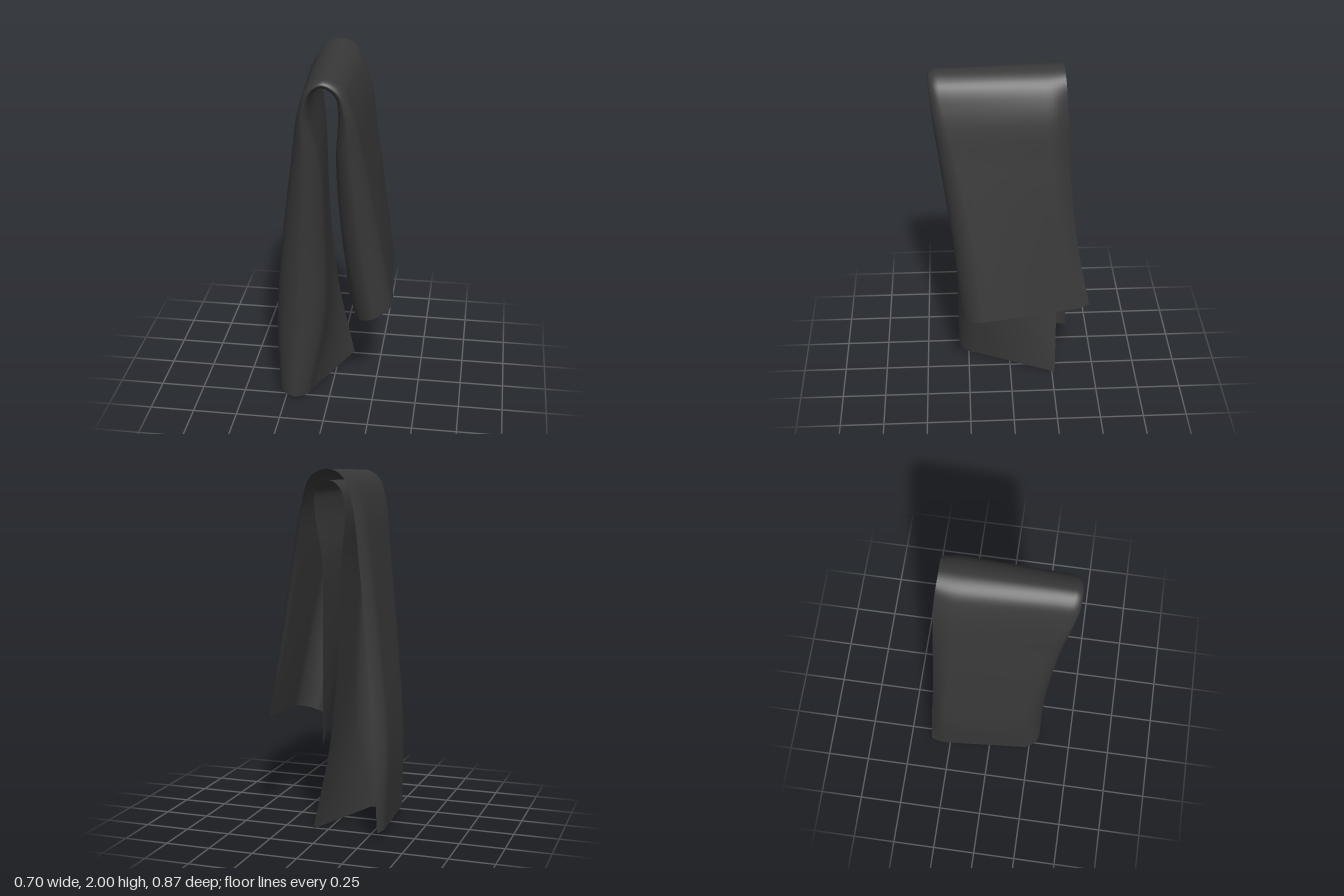
import * as THREE from 'three';

// Stations run from the long hanging end, over the top, to the short hanging end.
// Each row: xFront, yFront, xBack, yBack, zBack
const OUTER = [
  [-0.295, 0.03, -0.345, 0.05, -0.365],
  [-0.31, 0.5, -0.355, 0.5, -0.345],
  [-0.265, 1.0, -0.305, 1.0, -0.32],
  [-0.195, 1.5, -0.24, 1.5, -0.305],
  [-0.145, 1.8, -0.18, 1.82, -0.295],
  [-0.09, 1.94, -0.105, 1.96, -0.285],
  [-0.01, 1.985, -0.01, 2.0, -0.28],
  [0.085, 1.94, 0.095, 1.96, -0.285],
  [0.145, 1.8, 0.17, 1.82, -0.295],
  [0.2, 1.5, 0.22, 1.5, -0.31],
  [0.28, 1.02, 0.27, 1.05, -0.355],
  [0.35, 0.595, 0.305, 0.65, -0.43],
];
const INNER = [
  [-0.11, 0.01, 0.085, 0.0, -0.265],
  [-0.03, 0.5, -0.02, 0.5, -0.275],
  [-0.025, 1.0, -0.07, 1.0, -0.285],
  [-0.04, 1.5, -0.09, 1.5, -0.29],
  [-0.09, 1.78, -0.11, 1.78, -0.29],
  [-0.07, 1.89, -0.08, 1.9, -0.285],
  [-0.015, 1.935, -0.015, 1.94, -0.28],
  [0.05, 1.89, 0.055, 1.89, -0.28],
  [0.065, 1.8, 0.065, 1.8, -0.28],
  [0.045, 1.5, 0.025, 1.5, -0.27],
  [0.07, 1.0, 0.03, 1.0, -0.25],
  [0.14, 0.51, 0.04, 0.48, -0.22],
];
// Depth of the front fold, and how far the outer back edge curls inward
const FOLD_Z = [0.31, 0.31, 0.33, 0.375, 0.41, 0.43, 0.435, 0.43, 0.42, 0.385, 0.325, 0.285];
const CURL = [0.025, 0.065, 0.06, 0.045, 0.03, 0.01, 0, -0.01, -0.04, -0.065, -0.055, -0.025];

const curve = (fn) => new THREE.CatmullRomCurve3(FOLD_Z.map((z, i) => new THREE.Vector3(...fn(i, z))));

// One cross-section: outer layer with curled edge, pinched front fold, inner layer
function section(ob, of, inf, ib, curl) {
  const points = [];
  const depth = 0.03 + 0.4 * of.distanceTo(inf);
  of.z -= depth;
  inf.z -= depth;
  const mid = of.clone().add(inf).multiplyScalar(0.5);
  const half = of.clone().sub(mid);
  for (let i = 0; i < 16; i++) {
    const u = (i / 16) ** 1.5;
    const p = ob.clone().lerp(of, u);
    p.x += curl * Math.max(0, 1 - u / 0.16) ** 1.6;
    points.push(p);
  }
  for (let i = 0; i <= 12; i++) {
    const a = (i / 12) * Math.PI;
    const c = Math.cos(a);
    const p = mid.clone().addScaledVector(half, Math.sign(c) * Math.abs(c) ** 1.3);
    p.z += Math.sin(a) * depth;
    points.push(p);
  }
  for (let i = 1; i <= 8; i++) points.push(inf.clone().lerp(ib, i / 8));
  return points;
}

export function createModel() {
  const outerBack = curve((i) => OUTER[i].slice(2));
  const outerFront = curve((i, z) => [OUTER[i][0], OUTER[i][1], z]);
  const innerFront = curve((i, z) => [INNER[i][0], INNER[i][1], z]);
  const innerBack = curve((i) => INNER[i].slice(2));
  const curl = curve((i) => [CURL[i], i, 0]);

  // Loft the sections along the length of the cloth
  const steps = 88;
  const position = [];
  const index = [];
  let n = 0;
  for (let s = 0; s <= steps; s++) {
    const t = s / steps;
    const pts = section(
      outerBack.getPoint(t), outerFront.getPoint(t),
      innerFront.getPoint(t), innerBack.getPoint(t), curl.getPoint(t).x
    );
    n = pts.length;
    pts.forEach((p) => position.push(p.x, p.y, p.z));
  }
  for (let s = 0; s < steps; s++) {
    for (let u = 0; u < n - 1; u++) {
      const a = s * n + u;
      index.push(a, a + 1, a + n, a + 1, a + n + 1, a + n);
    }
  }
  const geometry = new THREE.BufferGeometry();
  geometry.setAttribute('position', new THREE.Float32BufferAttribute(position, 3));
  geometry.setIndex(index);
  // Stand on the ground, centred
  geometry.computeBoundingBox();
  const { min, max } = geometry.boundingBox;
  geometry.translate(-(min.x + max.x) / 2, -min.y, -(min.z + max.z) / 2);
  geometry.computeVertexNormals();

  const towel = new THREE.Mesh(
    geometry,
    new THREE.MeshStandardMaterial({ color: 0x383838, side: THREE.DoubleSide })
  );
  towel.name = 'foldedTowel';
  const group = new THREE.Group();
  group.name = 'hangingTowel';
  group.add(towel);
  return group;
}
